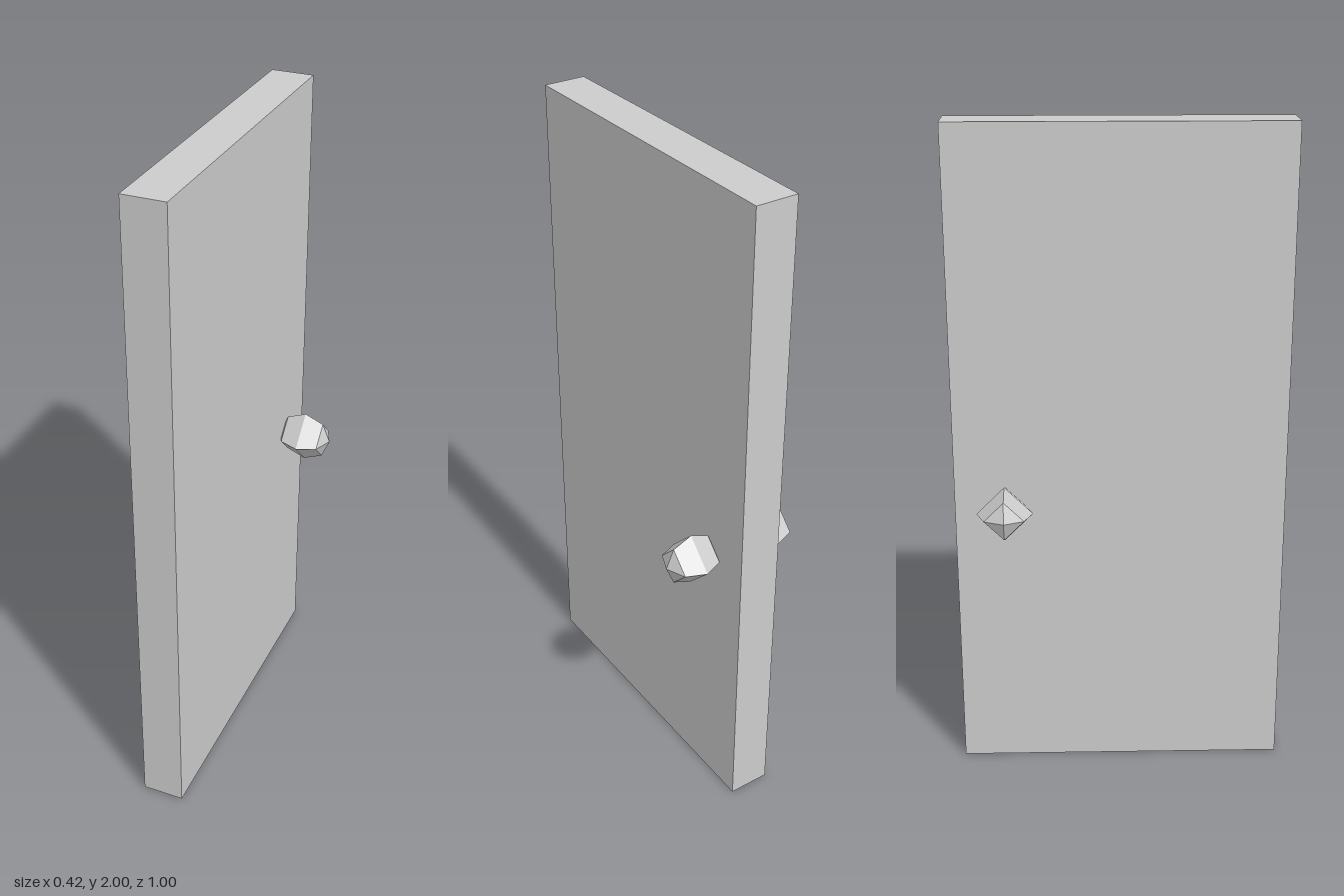
import * as THREE from 'three';

export function createModel() {
  const model = new THREE.Group();
  model.name = 'door';
  const material = new THREE.MeshStandardMaterial({ color: 0xcccccc, flatShading: true });

  // Door slab
  const panel = new THREE.Mesh(new THREE.BoxGeometry(0.128, 2, 0.995), material);
  panel.name = 'doorPanel';
  panel.position.set(-0.004, 1, 0);
  model.add(panel);

  // Faceted four-sided knobs, poles along x, partly sunk into the slab
  const knobGeometry = new THREE.SphereGeometry(0.084, 4, 4).rotateZ(Math.PI / 2);
  for (const [name, x] of [['leftKnob', 0.127], ['rightKnob', -0.129]]) {
    const knob = new THREE.Mesh(knobGeometry, material);
    knob.name = name;
    knob.position.set(x, 0.865, -0.345);
    model.add(knob);
  }

  return model;
}
